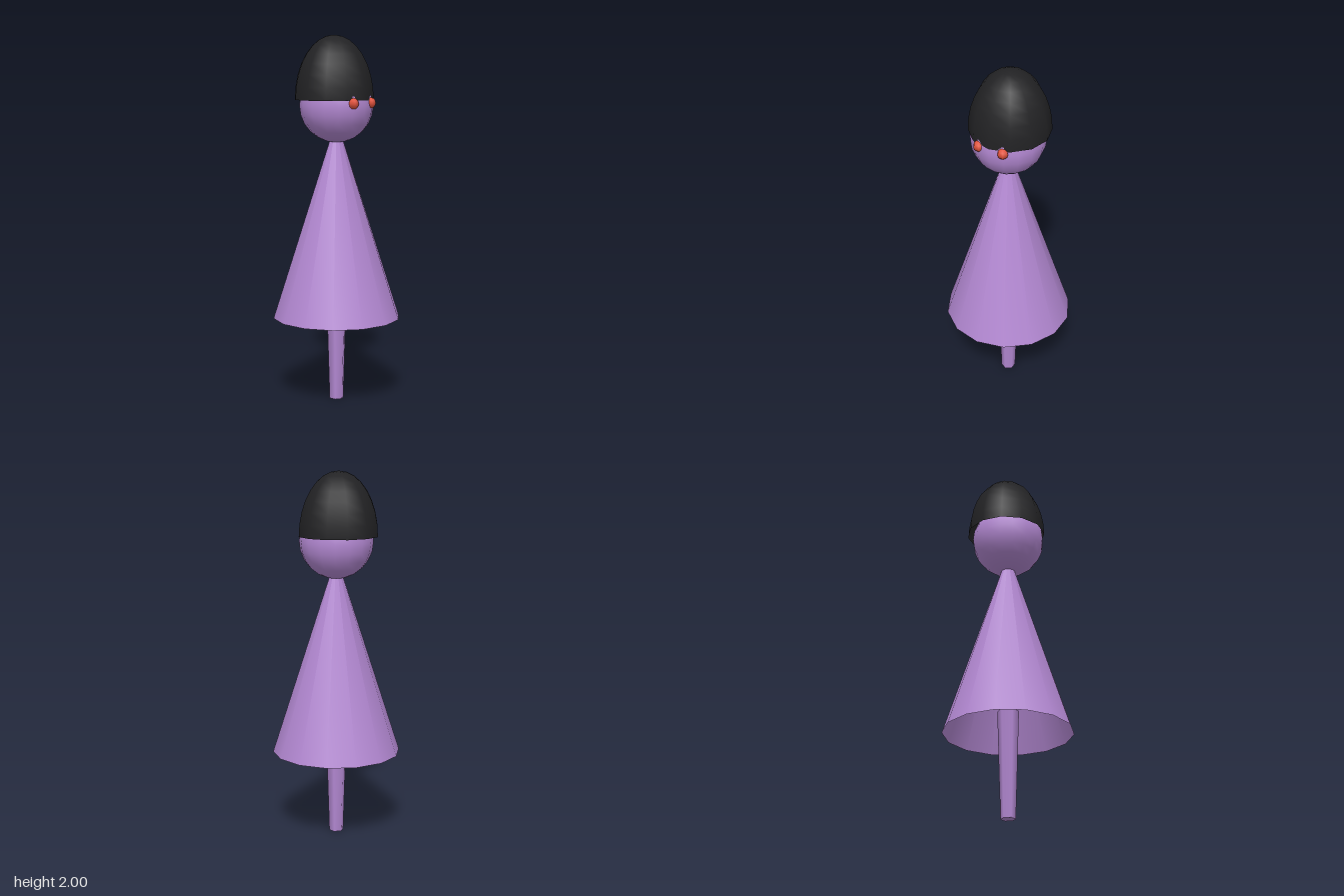
import * as THREE from 'three';

const material = (color, side = THREE.FrontSide) => new THREE.MeshStandardMaterial({ color, side });

export function createModel() {
  const group = new THREE.Group();
  const purple = material(0xb388d2);
  const red = material(0xe2523c);

  const add = (name, geometry, mat, x, y, z) => {
    const mesh = new THREE.Mesh(geometry, mat);
    mesh.name = name;
    mesh.position.set(x, y, z);
    group.add(mesh);
    return mesh;
  };

  // Tapered six-sided peg, ending just inside the hollow dress
  const legTop = 0.59;
  add('leg', new THREE.CylinderGeometry(0.058, 0.04, legTop, 6), purple, 0, legTop / 2, 0);

  // Hollow cone dress, its tip hidden in the head
  const hem = 0.465, tip = 1.55;
  add('dress', new THREE.ConeGeometry(0.35, tip - hem, 14, 1, true),
    material(0xb388d2, THREE.DoubleSide), 0, (hem + tip) / 2, 0);

  // Round head
  add('head', new THREE.SphereGeometry(0.2, 16, 12), purple, 0, 1.625, 0);

  // Tall open half-dome cap, set slightly back
  const cap = add('cap', new THREE.SphereGeometry(0.217, 12, 8, 0, Math.PI * 2, 0, Math.PI / 2),
    material(0x222224, THREE.DoubleSide), 0, 1.655, -0.018);
  cap.scale.y = 0.345 / 0.217;

  // Bead eyes
  for (const side of [1, -1]) {
    add(side > 0 ? 'leftEye' : 'rightEye', new THREE.SphereGeometry(0.03, 6, 6), red, side * 0.07, 1.64, 0.178);
  }

  return group;
}
